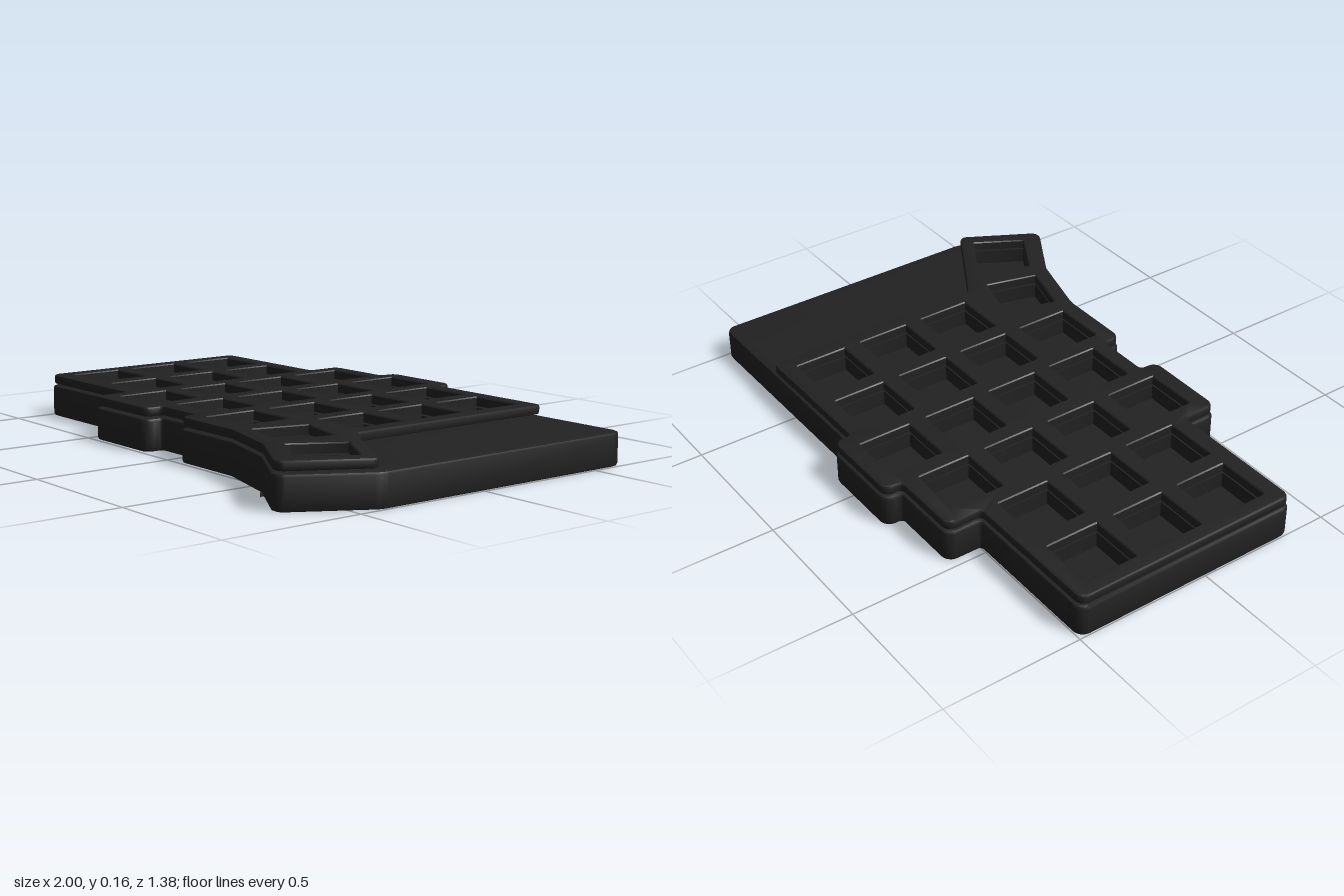
import * as THREE from 'three';
import { toCreasedNormals } from 'three/addons/utils/BufferGeometryUtils.js';

const V = (x, z) => new THREE.Vector2(x, z);

// Rounded outline in (x, z), inset by a distance; a third corner value overrides the radius.
function outline(corners, inset = 0, radius = 0.04, inner = 0.012, segs = 6) {
  const n = corners.length, out = [];
  for (let i = 0; i < n; i++) {
    const [a, c, b] = [corners[(i + n - 1) % n], corners[i], corners[(i + 1) % n]];
    const d1 = V(c[0] - a[0], c[1] - a[1]).normalize();
    const d2 = V(b[0] - c[0], b[1] - c[1]).normalize();
    const turn = Math.atan2(d1.cross(d2), d1.dot(d2));
    const n1 = V(-d1.y, d1.x), n2 = V(-d2.y, d2.x);
    const p = V(c[0], c[1]).addScaledVector(n1.clone().add(n2), inset / (1 + n1.dot(n2)));
    const side = Math.sign(turn);
    const r = Math.max(0.001, (c[2] ?? (side > 0 ? radius : inner)) - side * inset);
    const start = p.clone().addScaledVector(d1, -r * Math.tan(Math.abs(turn) / 2));
    const centre = start.clone().addScaledVector(n1, r * side);
    for (let k = 0; k <= segs; k++) {
      out.push(start.clone().rotateAround(centre, turn * k / segs));
    }
  }
  return out;
}

// Rotated rectangle corners
function rect(x, z, w, d, deg = 0) {
  return [[-1, -1], [1, -1], [1, 1], [-1, 1]].map(([sx, sz]) => {
    const p = V(sx * w / 2, sz * d / 2).rotateAround(V(0, 0), deg * Math.PI / 180);
    return [x + p.x, z + p.y];
  });
}

// Collects walls between rings and flat caps into one geometry
class Surface {
  constructor() { this.pos = []; }
  tri(...pts) { for (const p of pts) this.pos.push(...p); }
  walls(rings) {
    for (let k = 0; k + 1 < rings.length; k++) {
      const [a, b] = [rings[k], rings[k + 1]], n = a.pts.length;
      const at = (r, i) => [r.pts[i % n].x, r.y, r.pts[i % n].y];
      for (let i = 0; i < n; i++) {
        this.tri(at(a, i), at(b, i), at(a, i + 1));
        this.tri(at(a, i + 1), at(b, i), at(b, i + 1));
      }
    }
  }
  cap(ring, holes, up) {
    const all = [ring.pts, ...holes].flat();
    for (const f of THREE.ShapeUtils.triangulateShape(ring.pts, holes)) {
      const [a, b, c] = f.map(i => all[i]);
      const area = b.clone().sub(a).cross(c.clone().sub(a));
      const order = (area < 0) === up ? [a, b, c] : [a, c, b];
      this.tri(...order.map(p => [p.x, ring.y, p.y]));
    }
  }
  geometry() {
    const g = new THREE.BufferGeometry();
    g.setAttribute('position', new THREE.Float32BufferAttribute(this.pos, 3));
    return toCreasedNormals(g, 0.45);
  }
}

// Slab with softened edges
function slabRings(corners, y0, y1, inset, soft) {
  return [[soft, y0], [soft * 0.3, y0 + soft * 0.3], [0, y0 + soft],
    [0, y1 - soft], [soft * 0.3, y1 - soft * 0.3], [soft, y1]]
    .map(([i, y]) => ({ pts: outline(corners, inset + i), y }));
}

// Edges shared by case and key plate, listed from the thumb tip round to the back
const sharedEdge = [
  [0.835, 0.70], [0.60, 0.562, 0.12], [0.345, 0.492, 0.12], [0.05, 0.492], [0.05, 0.425],
  [-0.142, 0.425], [-0.142, 0.492], [-0.475, 0.492], [-0.475, 0.36], [-1, 0.36],
  [-1, -0.5], [-0.475, -0.5], [-0.475, -0.63], [-0.21, -0.63], [-0.21, -0.695],
  [0.12, -0.695], [0.12, -0.63],
];
const caseEdge = [...sharedEdge, [1, -0.63], [1, 0.415, 0.08]];
const plateEdge = [...sharedEdge, [0.64, -0.63, 0.025], [0.64, 0.21, 0.03], [0.995, 0.415, 0.03]];

// Key openings: staggered columns and two turned thumb keys
const KEY = 0.197, PITCH = 0.2627;
const columns = [[-0.334, 3], [-0.334, 3], [-0.465, 4], [-0.527, 4], [-0.465, 4], [-0.465, 3]];
const keys = [];
columns.forEach(([z, count], c) => {
  for (let r = 0; r < count; r++) keys.push(rect(-0.836 + c * PITCH, z + r * PITCH, KEY, KEY));
});
keys.push(rect(0.508, 0.366, KEY, KEY, 15), rect(0.783, 0.47, KEY, KEY, 30));
const keyRing = (k, inset, y) => ({ pts: outline(k, inset, 0.004, 0.004, 2), y });

function caseGeometry() {
  const s = new Surface();
  const rings = slabRings(caseEdge, 0, 0.116, 0, 0.01);
  s.walls(rings);

  // Key pockets
  const pockets = keys.map(k => [keyRing(k, 0, 0.116), keyRing(k, 0, 0.06)]);
  s.cap(rings[5], pockets.map(p => p[0].pts), true);
  for (const p of pockets) { s.walls(p); s.cap(p[1], [], true); }

  // Foot slots and screw recesses underneath
  const recesses = [];
  for (const [x, z] of [[0.47, -0.5], [0.71, 0.56], [-0.85, -0.4], [-0.86, 0.27]]) {
    for (const dx of [-0.05, 0.05]) recesses.push([rect(x + dx, z, 0.045, 0.09), 0.022]);
  }
  for (const [x, z] of [[-0.705, -0.2], [-0.705, 0.062], [0.348, -0.333], [0.348, 0.193]]) {
    recesses.push([rect(x, z, 0.034, 0.034), 0.0165]);
  }
  const cuts = recesses.map(([c, r]) => {
    const pts = outline(c, 0, r);
    return [{ pts, y: 0.015 }, { pts, y: 0 }];
  });
  s.cap(rings[0], cuts.map(c => c[1].pts), false);
  for (const c of cuts) { s.walls(c); s.cap(c[0], [], false); }
  return s.geometry();
}

function plateGeometry() {
  const s = new Surface();
  const rings = slabRings(plateEdge, 0.122, 0.156, 0.005, 0.008);
  s.walls(rings);
  // Openings run right through, with a fine chamfer on top
  const holes = keys.map(k => [keyRing(k, -0.004, 0.156), keyRing(k, 0, 0.152), keyRing(k, 0, 0.122)]);
  s.cap(rings[5], holes.map(h => h[0].pts), true);
  s.cap(rings[0], holes.map(h => h[2].pts), false);
  for (const h of holes) s.walls(h);
  return s.geometry();
}

export function createModel() {
  const group = new THREE.Group();
  group.name = 'splitKeyboardCase';
  const black = new THREE.MeshStandardMaterial({ color: 0x222222 });
  black.name = 'matteBlack';
  for (const [name, geo] of [['lowerCase', caseGeometry()], ['keyPlate', plateGeometry()]]) {
    const mesh = new THREE.Mesh(geo, black);
    mesh.name = name;
    group.add(mesh);
  }
  return group;
}
